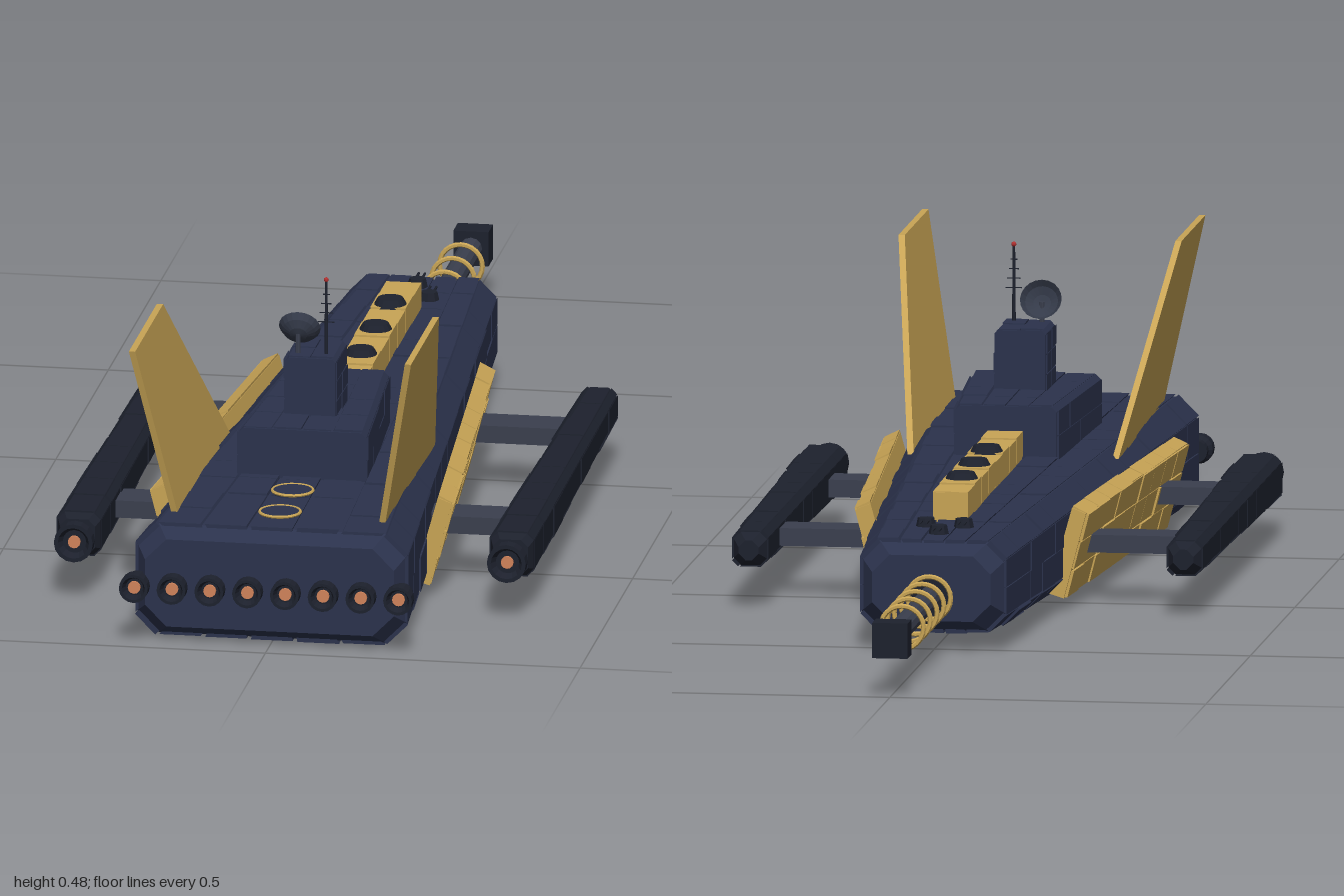
import * as THREE from 'three';
import { mergeGeometries } from 'three/addons/utils/BufferGeometryUtils.js';

const V = (x, y, z) => new THREE.Vector3(x, y, z);
const mat = (color) => new THREE.MeshStandardMaterial({ color, flatShading: true });
const lerp = THREE.MathUtils.lerp;

// Closed solid through rings listed from high z to low z, each counter-clockwise seen from +z
function loft(rings) {
  const out = [];
  const tri = (...ps) => ps.forEach((p) => out.push(p.x, p.y, p.z));
  const n = rings[0].length, last = rings[rings.length - 1];
  for (let i = 0; i < rings.length - 1; i++) {
    for (let k = 0; k < n; k++) {
      const a = rings[i][k], b = rings[i][(k + 1) % n];
      const d = rings[i + 1][k], c = rings[i + 1][(k + 1) % n];
      tri(a, d, c);
      tri(a, c, b);
    }
  }
  for (let k = 1; k < n - 1; k++) {
    tri(rings[0][0], rings[0][k], rings[0][k + 1]);
    tri(last[0], last[k + 1], last[k]);
  }
  const g = new THREE.BufferGeometry();
  g.setAttribute('position', new THREE.Float32BufferAttribute(out, 3));
  g.computeVertexNormals();
  return g;
}

// The same ring on the other side, still counter-clockwise
const mirrorRing = (ring) => ring.map((p) => V(-p.x, p.y, p.z)).reverse();

// Chamfered rectangle
function octagon(x, hw, y0, y1, c, z) {
  return [[hw, y0 + c], [hw, y1 - c], [hw - c, y1], [c - hw, y1],
    [-hw, y1 - c], [-hw, y0 + c], [c - hw, y0], [hw - c, y0]].map(([a, b]) => V(x + a, b, z));
}

// Seeded variation for the plating
function seeded(seed) {
  return () => (seed = (seed * 16807) % 2147483647) / 2147483647;
}

// Thin raised plates over a section(z, offset), with a number of columns per face
function plating(section, zs, cols, seed, lift) {
  const rnd = seeded(seed), parts = [], gap = 0.0012;
  for (let i = 0; i < zs.length - 1; i++) {
    cols.forEach((count, k) => {
      for (let c = 0; c < count; c++) {
        const d = lift * (0.35 + 0.65 * rnd());
        const ring = (z) => {
          const pick = (off, u) => {
            const s = section(z, off), a = s[k], b = s[(k + 1) % s.length];
            const m = gap / a.distanceTo(b);
            return a.clone().lerp(b, THREE.MathUtils.clamp(u, m, 1 - m));
          };
          const u0 = c / count + 0.01, u1 = (c + 1) / count - 0.01;
          return [pick(d, u0), pick(d, u1), pick(-0.003, u1), pick(-0.003, u0)];
        };
        parts.push(loft([ring(zs[i] - gap), ring(zs[i + 1] + gap)]));
      }
    });
  }
  return mergeGeometries(parts);
}

const steps = (a, b, n) => Array.from({ length: n + 1 }, (_, i) => lerp(a, b, i / n));

export function createModel() {
  const model = new THREE.Group();
  const navy = mat(0x2b324c), dark = mat(0x1d212d), steel = mat(0x3a3f4e);
  const gold = mat(0xc8a455), glow = mat(0xd0835a), red = mat(0xb03030);
  const add = (name, geo, material, x = 0, y = 0, z = 0, parent = model) => {
    const m = new THREE.Mesh(geo, material);
    m.name = name;
    m.position.set(x, y, z);
    parent.add(m);
    return m;
  };
  const box = (w, h, d) => new THREE.BoxGeometry(w, h, d);
  const tube = (r0, r1, len, n = 16) => new THREE.CylinderGeometry(r0, r1, len, n);
  const along = (r, len, n) => tube(r, r, len, n).rotateX(Math.PI / 2);

  // Hull: wide at the engines, narrow at the bow
  const hullAt = (z, d) => {
    const t = (0.95 - z) / 1.48;
    return octagon(0, lerp(0.215, 0.112, t) + d, lerp(0.017, 0.042, t) - d,
      lerp(0.195, 0.182, t) + d, lerp(0.034, 0.028, t), z);
  };
  add('hull', loft([hullAt(0.962, -0.018), hullAt(0.935, 0), hullAt(-0.505, 0), hullAt(-0.535, -0.018)]), navy);
  add('hullPlates', plating(hullAt, steps(0.94, -0.51, 16), [2, 1, 5, 1, 2, 1, 5, 1], 11, 0.005), navy);

  // Main engine row
  const nozzleProfile = (r) => [[0, 0], [r * 0.75, 0], [r * 0.75, 0.018], [r, 0.024], [r, 0.046],
    [r * 0.8, 0.046], [r * 0.6, 0.034], [0, 0.034]].map(([a, b]) => new THREE.Vector2(a, b));
  const engine = (name, x, z, r, parent = model) => {
    const g = new THREE.Group();
    g.name = name;
    g.position.set(x, 0.105, z);
    parent.add(g);
    add('nozzle', new THREE.LatheGeometry(nozzleProfile(r), 16).rotateX(Math.PI / 2), dark, 0, 0, 0, g);
    add('exhaustGlow', along(0.01, 0.006, 12), glow, 0, 0, 0.036, g);
  };
  for (let i = 0; i < 8; i++) engine('mainEngine', -0.21 + i * 0.06, 0.954, 0.023);

  // Bow gun with coil rings
  add('gunBarrel', along(0.018, 0.46, 12), steel, 0, 0.1, -0.75);
  add('gunCollar', along(0.034, 0.03, 12), dark, 0, 0.1, -0.535);
  add('gunMuzzle', box(0.056, 0.056, 0.044), dark, 0, 0.1, -0.978);
  for (let i = 0; i < 5; i++) {
    add('gunCoil', new THREE.TorusGeometry(0.034, 0.004, 6, 24), gold, 0, 0.1, -0.558 - i * 0.076);
  }

  // Raised spine with dark domes
  add('spine', box(0.052, 0.05, 0.62), gold, 0, 0.206, -0.01);
  for (let i = 0; i < 8; i++) {
    add('spinePlate', box(0.056, 0.04, 0.074), gold, 0, 0.212 + 0.002 * (i % 2), -0.281 + i * 0.0775);
  }
  for (const z of [-0.19, -0.05, 0.09]) add('spineDome', tube(0.02, 0.028, 0.014), dark, 0, 0.237, z);

  // Command deck and tower
  const deckAt = (z, d) => {
    const hw = lerp(0.102, 0.08, (0.65 - z) / 0.35) + d;
    return octagon(0, hw, 0.18, 0.272 + d, 0.008, z);
  };
  add('commandDeck', loft([deckAt(0.65, 0), deckAt(0.305, 0)]), navy);
  add('commandDeckPlates', plating(deckAt, steps(0.648, 0.307, 4), [2, 0, 4, 0, 2, 0, 0, 0], 5, 0.004), navy);
  const towerAt = (z, d) => octagon(0, 0.04 + d, 0.26, 0.367 + d, 0.006, z);
  add('tower', loft([towerAt(0.572, 0), towerAt(0.468, 0)]), navy);
  add('towerPlates', plating(towerAt, steps(0.57, 0.47, 2), [3, 0, 2, 0, 3, 0, 0, 0], 8, 0.004), navy);

  // Sensor dish facing the bow
  const bowl = [[0, 0], [0.014, 0.003], [0.026, 0.01], [0.033, 0.02]].map(([a, b]) => new THREE.Vector2(a, b));
  const dishMat = mat(0x343a49);
  dishMat.side = THREE.DoubleSide;
  add('dish', new THREE.LatheGeometry(bowl, 20), dishMat, -0.023, 0.397, 0.552).rotation.x = -1.05;
  add('dishPost', tube(0.004, 0.004, 0.035, 8), steel, -0.023, 0.383, 0.55);

  // Antenna mast
  add('mast', tube(0.002, 0.003, 0.12, 8), dark, 0.022, 0.43, 0.552);
  for (let i = 0; i < 4; i++) {
    add('mastCrossbar', box(0.026 - i * 0.005, 0.0015, 0.0015), dark, 0.022, 0.422 + i * 0.015, 0.552);
  }
  add('mastLight', new THREE.SphereGeometry(0.004, 8, 6), red, 0.022, 0.491, 0.552);

  // Deck hatches and keel sensors
  const rim = () => new THREE.TorusGeometry(0.032, 0.0025, 6, 24).rotateX(Math.PI / 2);
  for (const z of [0.74, 0.86]) {
    add('hatch', tube(0.031, 0.031, 0.008), navy, 0, 0.198, z);
    add('hatchRim', rim(), gold, 0, 0.201, z);
  }
  for (let i = 0; i < 6; i++) {
    const z = 0.75 - i * 0.21, y = hullAt(z, 0)[6].y - 0.004;
    add('keelSensor', tube(0.032, 0.026, 0.012), dark, 0, y, z);
    add('keelSensorRim', rim(), gold, 0, y, z);
  }

  // Small bow turrets
  for (const [x, z] of [[-0.03, -0.38], [0.03, -0.38], [0, -0.45]]) {
    add('turret', tube(0.013, 0.016, 0.014, 8), dark, x, 0.193, z);
    for (const s of [-1, 1]) add('turretBarrel', along(0.002, 0.035, 6), dark, x + s * 0.005, 0.196, z - 0.022);
  }

  // Paired parts
  for (const s of [1, -1]) {
    const side = new THREE.Group();
    side.name = s > 0 ? 'leftSide' : 'rightSide';
    model.add(side);
    const sided = (ring) => (s > 0 ? ring : mirrorRing(ring));

    // Leaning tail fin, swept towards the stern
    const finEdge = (y, z) => [-0.005, 0.005].map((w) => V(0.165 + (y - 0.195) * 0.19 + w, y, z));
    const finSpan = (zLow, zHigh) => sided([...finEdge(0.18, zLow), ...finEdge(0.48, zHigh).reverse()]);
    add('tailFin', loft([finSpan(0.872, 0.957), finSpan(0.385, 0.69)]), gold, 0, 0, 0, side);

    // Outward leaning flank armour
    const armourAt = (z, d) => {
      const o = -0.057 * (0.65 - z) / 0.74;
      return sided([[0.203 + d, 0.03], [0.238 + d, 0.165], [0.216, 0.174 + d], [0.178, 0.038]]
        .map(([x, y]) => V(x + o, y, z)));
    };
    const armourCols = s > 0 ? [3, 1, 0, 0] : [0, 1, 3, 0];
    add('flankArmour', loft([armourAt(0.655, 0), armourAt(-0.085, 0)]), gold, 0, 0, 0, side);
    add('flankArmourPlates', plating(armourAt, steps(0.653, -0.083, 9), armourCols, 21, 0.005), gold, 0, 0, 0, side);

    // Outrigger nacelle on two struts
    const podAt = (z, d) => {
      const h = lerp(0.034, 0.026, (0.72 - z) / 0.86) + d;
      return octagon(s * 0.344, h, 0.105 - h, 0.105 + h, 0.011, z);
    };
    add('nacelle', loft([podAt(0.728, -0.006), podAt(0.71, 0), podAt(-0.125, 0), podAt(-0.145, -0.01)]), dark, 0, 0, 0, side);
    add('nacellePlates', plating(podAt, steps(0.71, -0.125, 9), [1, 1, 1, 1, 1, 1, 1, 1], 31, 0.004), dark, 0, 0, 0, side);
    engine('nacelleEngine', s * 0.344, 0.722, 0.031, side);
    for (const z of [0.033, 0.535]) add('strut', box(0.16, 0.028, 0.068), steel, s * 0.245, 0.105, z, side);
  }
  return model;
}
